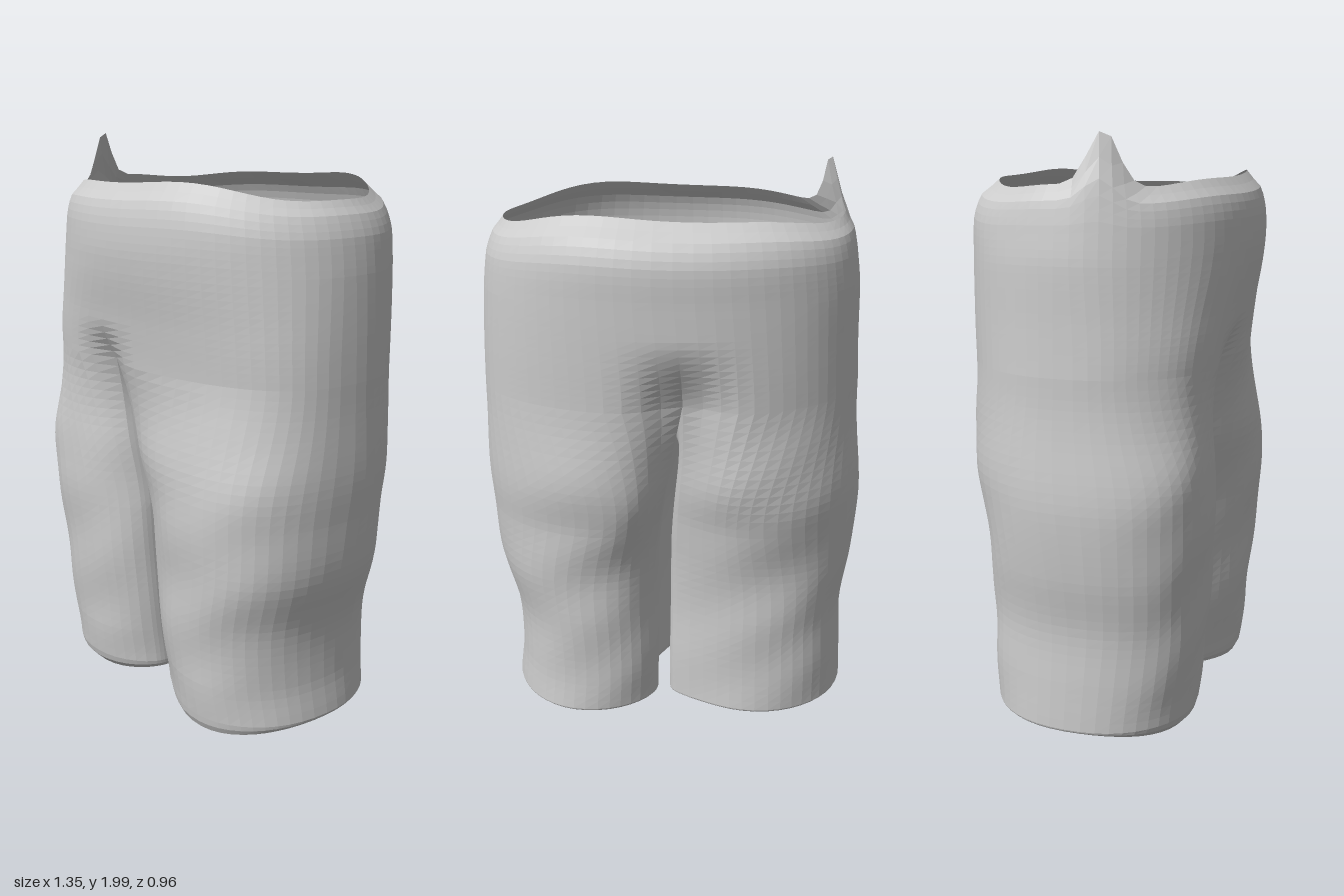
import * as THREE from 'three';

const M = 72, K = 24, CROTCH = 1.25, HEM = 0.065;
const { lerp, smoothstep, degToRad } = THREE.MathUtils;

// Outline by height: y, right-side x, left-side x, front z, back z
const OUTLINE = [
  [0.05, -0.64, 0.6, 0.37, -0.335], [0.2, -0.635, 0.585, 0.39, -0.34],
  [0.4, -0.63, 0.595, 0.41, -0.345], [0.6, -0.66, 0.65, 0.42, -0.36],
  [0.8, -0.675, 0.665, 0.43, -0.40], [0.95, -0.675, 0.675, 0.445, -0.44],
  [1.1, -0.665, 0.675, 0.435, -0.455], [1.2, -0.65, 0.67, 0.43, -0.46],
  [1.4, -0.64, 0.665, 0.45, -0.47], [1.6, -0.635, 0.655, 0.48, -0.475],
  [1.72, -0.62, 0.64, 0.48, -0.475], [1.79, -0.605, 0.615, 0.46, -0.445],
  [1.84, -0.575, 0.58, 0.41, -0.375],
];
// Line where the legs meet at the front: y, x
const SEAM = [[0, 0], [0.7, -0.015], [0.9, -0.05], [1.1, -0.1], [1.3, -0.13]];

// Smooth lookup in a table sorted by its first column
function sample(table, y) {
  const last = table.length - 1;
  let i = 0;
  while (i < last - 1 && y > table[i + 1][0]) i++;
  const t = Math.min(1, Math.max(0, (y - table[i][0]) / (table[i + 1][0] - table[i][0])));
  const [p, a, b, q] = [i - 1, i, i + 1, i + 2].map((k) => table[Math.min(last, Math.max(0, k))]);
  return a.slice(1).map((v, n) => {
    const k = n + 1, m0 = (b[k] - p[k]) / 2, m1 = (q[k] - a[k]) / 2;
    return v + t * (m0 + t * (3 * (b[k] - v) - 2 * m0 - m1 + t * (2 * (v - b[k]) + m0 + m1)));
  });
}

// Signed power, for superellipse rings
const spow = (v, n) => Math.sign(v) * Math.pow(Math.abs(v), 2 / n);
const bump = (d, w) => Math.exp(-((d / w) ** 2));

// Closed skin over rings listed from bottom to top
function loft(name, rings, material) {
  const n = rings[0].length, index = [];
  for (let j = 0; j < rings.length - 1; j++) {
    for (let i = 0; i < n; i++) {
      const a = j * n + i, b = j * n + (i + 1) % n;
      index.push(a, b, b + n, a, b + n, a + n);
    }
  }
  const geometry = new THREE.BufferGeometry().setFromPoints(rings.flat());
  geometry.setIndex(index);
  geometry.computeVertexNormals();
  const mesh = new THREE.Mesh(geometry, material);
  mesh.name = name;
  return mesh;
}

// Hip ring: t = 0 at the crotch, 1 at the wavy waist edge
function hipRing(t) {
  const level = lerp(CROTCH, 1.84, t);
  const [x0, x1, zf, zb] = sample(OUTLINE, level);
  const ring = [];
  for (let i = 0; i < M; i++) {
    const a = i / M * Math.PI * 2, s = Math.sin(a), c = Math.cos(a);
    const n = lerp(c > 0 ? 2.6 : 2.15, 2.15, smoothstep(t, 0, 0.7));
    let x = (s > 0 ? x1 : -x0) * spow(s, n);
    let z = (c > 0 ? zf : -zb) * spow(c, n);
    // valleys running into the crotch, longer at the back
    z *= 1 - (c > 0 ? 0.16 * bump(x, 0.09) : 0.22 * bump(x, 0.13))
      * (1 - smoothstep(level, CROTCH - 0.05, c > 0 ? 1.4 : 1.5));
    x += (c > 0 ? -0.12 : -0.03) * c ** 4 * (1 - smoothstep(level, CROTCH, 1.7));
    // waist wave and the pulled-up corner on the right side
    const wave = 0.02 * c * c - 0.02 * s * s + 0.01 * Math.sin(3 * a) - 0.006 * Math.cos(6 * a);
    const peak = x < 0 ? 0.17 * bump(z - 0.13, 0.06) * t ** 10 : 0;
    ring.push(new THREE.Vector3(x + peak * 0.1, level + wave * t ** 3 + peak, z));
  }
  return ring;
}

// Leg ring: side +1 is the left leg, -1 the right
function legRing(side, y) {
  const [x0, x1, zf, zb] = sample(OUTLINE, y);
  const seam = sample(SEAM, y)[0];
  const inner = 0.65 * seam - side * 0.004, outer = side > 0 ? x1 : x0;
  const cx = (inner + outer) / 2, rx = Math.abs(outer - inner) / 2;
  const cz = (zf + zb) / 2, rz = (zf - zb) / 2;
  const corner = degToRad(50), start = side > 0 ? -corner : Math.PI - corner;
  const arc = Math.PI + 2 * corner, upper = smoothstep(y, 0.4, 1);
  const points = [];
  for (let i = 0; i < M / 2 + K; i++) {
    const a = start + (i <= M / 2 ? arc * i / (M / 2)
      : arc + (2 * Math.PI - arc) * (i - M / 2) / K);
    const s = Math.sin(a), c = Math.cos(a);
    const inside = (1 - side * s) / 2;
    const n = c > 0 ? lerp(2.2, 2.5, smoothstep(y, 0.1, 0.9)) : 2.1;
    // soft slanting folds, fading at the inseam
    const fold = 1 + 0.03 * inside * (1 - inside)
      * (Math.sin(11 * y + 3 * a) + Math.sin(19 * y - 4 * a));
    // hollow inseam, closed by a lip in front on one leg and behind on the other
    const hollow = 0.085 * bump(c - (side > 0 ? -0.1 : 0.15), 0.4)
      - 0.09 * bump(c - side * 0.62, 0.25);
    // inseam slants from front to back; the seat is fullest near the middle
    const shift = inside ** 2 * 0.35 * seam * c + side * hollow * inside ** 3
      - (c < 0 ? side * 0.1 * c * c * upper * (1 - inside ** 4) : 0);
    points.push(new THREE.Vector3(
      cx + rx * spow(s, n) * fold + shift, y, cz + rz * spow(c, n) * fold));
  }
  return { points, cx, cz, rz };
}

function leg(name, side, hip, material) {
  // top edge: outer half of the hip ring, closed by the crotch curve
  const crotch = new THREE.CatmullRomCurve3([
    hip[0], new THREE.Vector3(-0.05, 1.1, 0.17), new THREE.Vector3(0.01, 1.07, -0.05), hip[M / 2],
  ]).getSpacedPoints(K);
  const top = [];
  for (let i = 0; i <= M / 2; i++) top.push(hip[side > 0 ? i : (i + M / 2) % M]);
  for (let k = 1; k < K; k++) top.push(crotch[side > 0 ? K - k : k]);

  // hem rolled under: most at the front
  const rings = [], rows = 36, hem = legRing(side, HEM);
  for (const [roll, drop] of [[1, 0.85], [0.55, 1], [0.2, 0.8], [0.05, 0.4]]) {
    rings.push(hem.points.map((p) => {
      const dx = p.x - hem.cx, dz = p.z - hem.cz;
      const pullZ = dz < 0 ? 0.1 : side > 0 ? 0.24 : 0.45;
      const ahead = smoothstep(dz / hem.rz, -0.6, 0.8);
      const middle = 1 - Math.min(1, (dx / 0.32) ** 2);
      return new THREE.Vector3(hem.cx + dx * (1 - roll * 0.1),
        HEM - drop * (0.012 + 0.053 * ahead * middle), hem.cz + dz * (1 - roll * pullZ));
    }));
  }
  // below the crotch the outside changes slowly, the inseam quickly
  for (let j = 0; j <= rows; j++) {
    const s = 1 - j / rows, quick = 1 - (1 - s) ** 5, slow = smoothstep(s, 0, 0.4);
    rings.push(top.map((p, i) => {
      const y = lerp(p.y, HEM, s);
      const q = legRing(side, y).points[i];
      const w = i < M / 2 ? lerp(quick, slow, Math.sin(2 * Math.PI * i / M)) : quick;
      return new THREE.Vector3(lerp(p.x, q.x, w), y, lerp(p.z, q.z, w));
    }));
  }
  return loft(name, rings, material);
}

export function createModel() {
  const group = new THREE.Group();
  group.name = 'shorts';
  const cloth = new THREE.MeshStandardMaterial({
    color: 0xcccccc, flatShading: true, side: THREE.DoubleSide,
  });
  const hips = Array.from({ length: 25 }, (_, j) => hipRing(j / 24));
  group.add(loft('hips', hips, cloth));
  group.add(leg('leftLeg', 1, hips[0], cloth));
  group.add(leg('rightLeg', -1, hips[0], cloth));
  return group;
}
